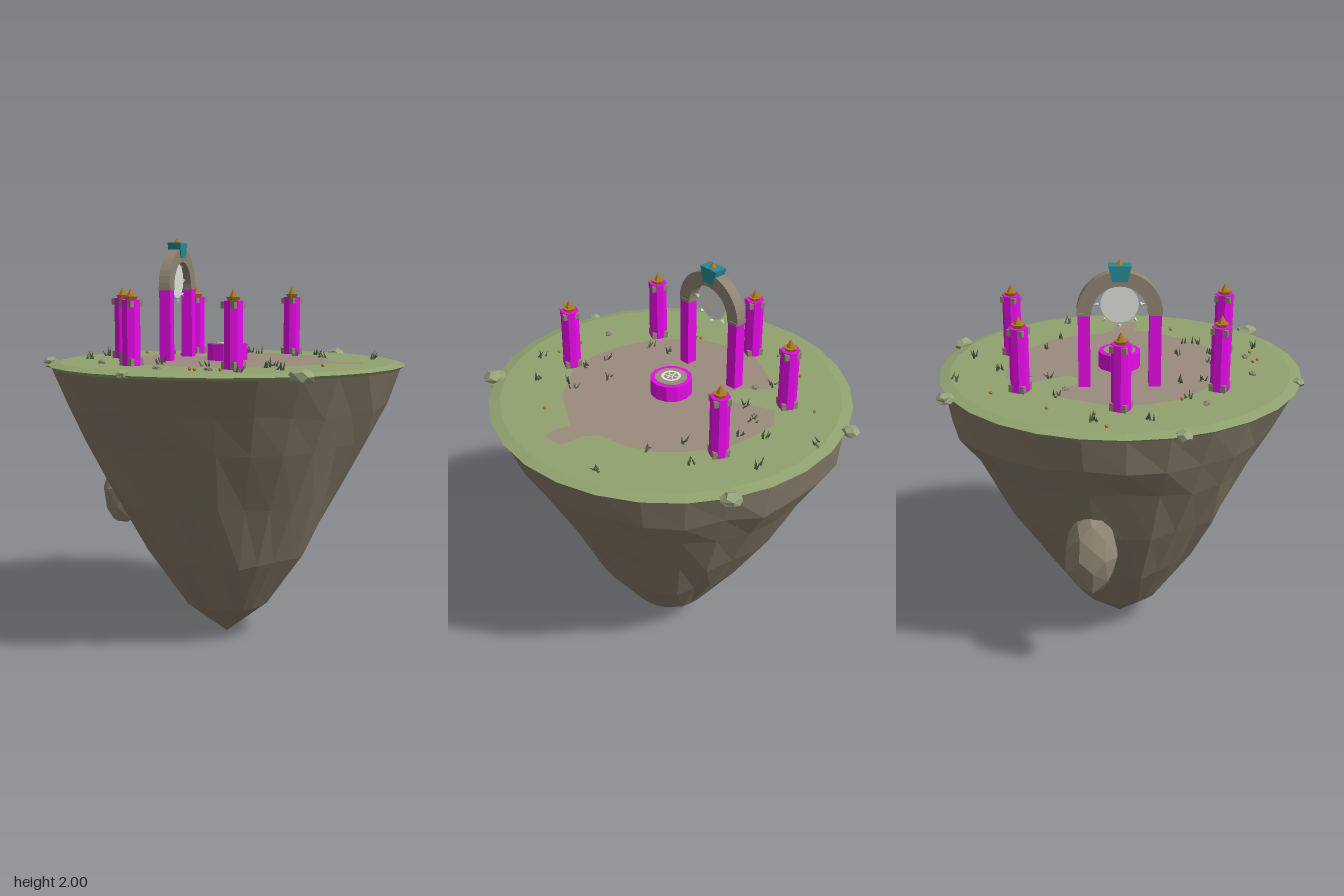
import * as THREE from 'three';

const mat = (name, color, side = THREE.FrontSide) => {
  const m = new THREE.MeshStandardMaterial({ color, flatShading: true, side });
  m.name = name;
  return m;
};
const M = {
  earth: mat('earth', 0x857a68),
  grass: mat('grass', 0x90a26e),
  path: mat('path', 0x9a8c7d),
  stone: mat('stone', 0x8f8472),
  magenta: mat('magenta', 0xf20cf2),
  gold: mat('gold', 0xb07a20),
  teal: mat('teal', 0x278a90),
  pale: mat('pale', 0xe0e0da, THREE.DoubleSide),
  moss: mat('mossyRock', 0x98a37c),
  blade: mat('darkGreen', 0x4c5a42, THREE.DoubleSide),
};

const CX = -0.03, TOP = 1.395, SIDES = 28;
let seed = 7;
const rnd = () => (seed = (seed * 16807) % 2147483647) / 2147483647;

function add(parent, name, geo, material, x = 0, y = 0, z = 0) {
  const m = new THREE.Mesh(geo, material);
  m.name = name;
  m.position.set(x, y, z);
  parent.add(m);
  return m;
}

// Skin over rings listed from top to bottom; each ring gives [radius, y] at an angle
function loft(rings) {
  const pos = [];
  const pts = rings.map((ring) => Array.from({ length: SIDES }, (_, i) => {
    const a = (i / SIDES) * Math.PI * 2, [r, y] = ring(a);
    return [CX + r * Math.cos(a), y, r * Math.sin(a)];
  }));
  for (let k = 0; k + 1 < pts.length; k++) {
    for (let i = 0; i < SIDES; i++) {
      const j = (i + 1) % SIDES, a = pts[k][i], b = pts[k][j], c = pts[k + 1][i], d = pts[k + 1][j];
      if (a[0] !== b[0] || a[2] !== b[2]) pos.push(...a, ...b, ...c);
      if (c[0] !== d[0] || c[2] !== d[2]) pos.push(...b, ...d, ...c);
    }
  }
  const g = new THREE.BufferGeometry();
  g.setAttribute('position', new THREE.Float32BufferAttribute(pos, 3));
  g.computeVertexNormals();
  return g;
}

// Irregular boulder: equal corners move together
function boulder(rx, ry, rz, detail = 0) {
  const g = detail ? new THREE.IcosahedronGeometry(1, detail) : new THREE.DodecahedronGeometry(1, 0);
  const p = g.attributes.position;
  for (let i = 0; i < p.count; i++) {
    const x = p.getX(i), y = p.getY(i), z = p.getZ(i);
    const s = 1 + 0.07 * Math.sin(5 * x + 3 * y) + 0.05 * Math.cos(4 * z - 2 * y);
    p.setXYZ(i, x * s * rx, y * s * ry, z * s * rz);
  }
  g.computeVertexNormals();
  return g;
}

function island(g) {
  const profile = [[0.866, 1.37, 0], [0.8, 1.19, 0.045], [0.705, 1.02, 0.03], [0.565, 0.73, 0.035],
    [0.4, 0.44, 0.01], [0.213, 0.165, 0]];
  const rings = profile.map(([r, y, lean], k) => (a) => {
    const n = k ? (rnd() - 0.5) : 0;
    return [r * (1 + lean * Math.cos(a + Math.PI / 4) + 0.035 * n), y + (k && k < 5 ? 0.04 * (rnd() - 0.5) : 0)];
  });
  add(g, 'islandUnderside', loft([...rings, () => [0, 0]]), M.earth);
  add(g, 'grassTop', loft([() => [0, TOP], () => [0.83, TOP], () => [0.883, 1.382], () => [0.866, 1.368]]), M.grass);

  // Worn dirt patch
  const outline = [[-0.51, -0.17], [-0.47, -0.29], [-0.36, -0.41], [-0.23, -0.5], [0.07, -0.5], [0.1, -0.45],
    [0.05, -0.3], [0.09, -0.24], [0.14, -0.23], [0.22, -0.34], [0.29, -0.42], [0.4, -0.37], [0.46, -0.25],
    [0.51, -0.11], [0.49, 0.08], [0.45, 0.22], [0.36, 0.34], [0.25, 0.42], [0.23, 0.5], [0.27, 0.62],
    [0.18, 0.67], [0.14, 0.62], [0.13, 0.54], [-0.15, 0.515], [-0.36, 0.41], [-0.46, 0.28], [-0.52, 0.12], [-0.53, -0.04]];
  const shape = new THREE.Shape(outline.map(([x, z]) => new THREE.Vector2(x, -z)));
  add(g, 'dirtPatch', new THREE.ShapeGeometry(shape).rotateX(-Math.PI / 2), M.path, 0, TOP + 0.003, 0);

  // Boulder clinging to the back
  add(g, 'hangingBoulder', boulder(0.125, 0.205, 0.12, 1), M.stone, -0.15, 0.7, -0.615);
  // Rocks along the rim
  for (const [x, z, r] of [[-0.62, -0.65, 0.045], [0.54, -0.7, 0.045], [0.86, 0, 0.052], [-0.88, 0.17, 0.034], [-0.42, 0.795, 0.062]])
    add(g, 'rimRock', boulder(r, r * 0.65, r * 0.95), M.moss, x, 1.385, z).rotation.y = rnd() * 6;
  for (const [x, z] of [[-0.59, -0.3], [-0.66, 0.15], [-0.55, 0.37], [0.31, -0.31], [0.07, -0.4]])
    add(g, 'pebble', boulder(0.021, 0.013, 0.018), M.stone, x, TOP + 0.006, z).rotation.y = rnd() * 6;
}

function pillar(g, x, z) {
  const p = new THREE.Group();
  p.name = 'torchPillar';
  p.position.set(x, TOP, z);
  const shaft = new THREE.CylinderGeometry(0.045, 0.045, 0.306, 8).rotateY(Math.PI / 8);
  add(p, 'shaft', shaft, M.magenta, 0, 0.153, 0);
  add(p, 'base', new THREE.BoxGeometry(0.08, 0.035, 0.08), M.stone, 0, 0.0175, 0);
  add(p, 'capital', new THREE.BoxGeometry(0.08, 0.03, 0.08), M.stone, 0, 0.287, 0);
  add(p, 'bowl', new THREE.CylinderGeometry(0.034, 0.026, 0.016, 6), M.gold, 0, 0.314, 0);
  add(p, 'flame', new THREE.ConeGeometry(0.022, 0.042, 6), M.gold, 0, 0.341, 0);
  g.add(p);
}

function archway(g) {
  const a = new THREE.Group();
  a.name = 'archway';
  a.position.set(-0.133, 0, -0.24);
  a.rotation.y = 0.45;
  const R = 0.164, springY = 1.75;
  for (const s of [-1, 1]) {
    add(a, 'archPost', new THREE.BoxGeometry(0.056, 0.355, 0.056), M.magenta, s * R, TOP + 0.1775, 0);
    add(a, 'archPostCap', new THREE.BoxGeometry(0.06, 0.015, 0.06), M.stone, s * R, springY, 0);
  }
  const ring = new THREE.Shape();
  ring.absarc(0, 0, R + 0.034, 0, Math.PI, false);
  ring.absarc(0, 0, R - 0.034, Math.PI, 0, true);
  const arch = new THREE.ExtrudeGeometry(ring, { depth: 0.056, bevelEnabled: false, curveSegments: 10 });
  add(a, 'archRing', arch.translate(0, 0, -0.028), M.stone, 0, springY, 0);
  const key = new THREE.Shape([[-0.035, 1.9], [0.035, 1.9], [0.053, 1.975], [-0.053, 1.975]].map(([x, y]) => new THREE.Vector2(x, y)));
  const keyGeo = new THREE.ExtrudeGeometry(key, { depth: 0.066, bevelEnabled: false });
  add(a, 'keystone', keyGeo.translate(0, 0, -0.033), M.teal);
  add(a, 'keystoneTip', new THREE.ConeGeometry(0.018, 0.026, 6), M.gold, 0, 1.987, 0);

  // Glowing disc with eight small rays
  add(a, 'portalDisc', new THREE.CircleGeometry(0.088, 24), M.pale, 0, 1.79, 0);
  for (let i = 0; i < 8; i++) {
    const ray = new THREE.ConeGeometry(0.009, 0.024, 4).translate(0, 0.108, 0);
    add(a, 'portalRay', ray, M.pale, 0, 1.79, 0).rotation.z = (i * Math.PI) / 4;
  }
  g.add(a);
}

function altar(g) {
  const a = new THREE.Group();
  a.name = 'altar';
  a.position.set(-0.025, 0, 0);
  add(a, 'altarDrum', new THREE.CylinderGeometry(0.103, 0.103, 0.083, 12), M.magenta, 0, TOP + 0.0415, 0);
  add(a, 'altarTop', new THREE.CylinderGeometry(0.08, 0.08, 0.004, 12), M.path, 0, 1.479, 0);
  add(a, 'altarRing', new THREE.RingGeometry(0.035, 0.048, 20).rotateX(-Math.PI / 2), M.pale, 0, 1.484, 0);
  add(a, 'altarHub', new THREE.RingGeometry(0.008, 0.016, 6).rotateX(-Math.PI / 2), M.pale, 0, 1.484, 0);
  for (let i = 0; i < 6; i++) {
    const spoke = new THREE.BoxGeometry(0.024, 0.003, 0.005).translate(0.025, 0, 0);
    add(a, 'altarSpoke', spoke, M.pale, 0, 1.483, 0).rotation.y = (i * Math.PI) / 3;
  }
  g.add(a);
}

function plants(g) {
  const tufts = [[-0.43, -0.57], [-0.21, -0.69], [0.08, -0.5], [0.48, -0.3], [0.7, -0.18], [0.42, 0.08], [0.43, 0.25],
    [0.51, 0.51], [-0.23, 0.26], [-0.37, 0.33], [-0.41, 0.22], [-0.53, 0.53], [-0.25, 0.45], [-0.47, -0.03], [-0.39, -0.09],
    [0.21, -0.3], [0.61, -0.5], [-0.48, -0.27], [0.43, -0.19], [0.57, 0.09], [-0.33, 0.6], [-0.19, 0.45], [0.34, -0.28]];
  for (const [x, z] of tufts) {
    const t = new THREE.Group();
    t.name = 'grassTuft';
    t.position.set(x, TOP, z);
    for (let i = 0; i < 4; i++) {
      const h = 0.025 + 0.025 * rnd();
      const b = add(t, 'grassBlade', new THREE.ConeGeometry(0.007, h, 3).translate(0, h / 2, 0), M.blade,
        (rnd() - 0.5) * 0.04, 0, (rnd() - 0.5) * 0.04);
      b.rotation.set((rnd() - 0.5) * 1.1, rnd() * 6, (rnd() - 0.5) * 1.1);
    }
    g.add(t);
  }
  for (const [x, z] of [[-0.29, -0.73], [0.04, -0.65], [0.36, -0.59], [-0.18, -0.62], [-0.61, 0.31], [-0.55, 0.44], [-0.47, -0.3], [-0.05, 0.62], [-0.62, 0.35]])
    add(g, 'flower', new THREE.IcosahedronGeometry(0.009, 0), M.gold, x, TOP + 0.008, z);
}

export function createModel() {
  const g = new THREE.Group();
  g.name = 'floatingIslandShrine';
  island(g);
  for (const [x, z] of [[-0.58, -0.1], [-0.26, -0.51], [0.26, -0.49], [0.54, -0.05], [-0.42, 0.4]]) pillar(g, x, z);
  archway(g);
  altar(g);
  plants(g);
  return g;
}
